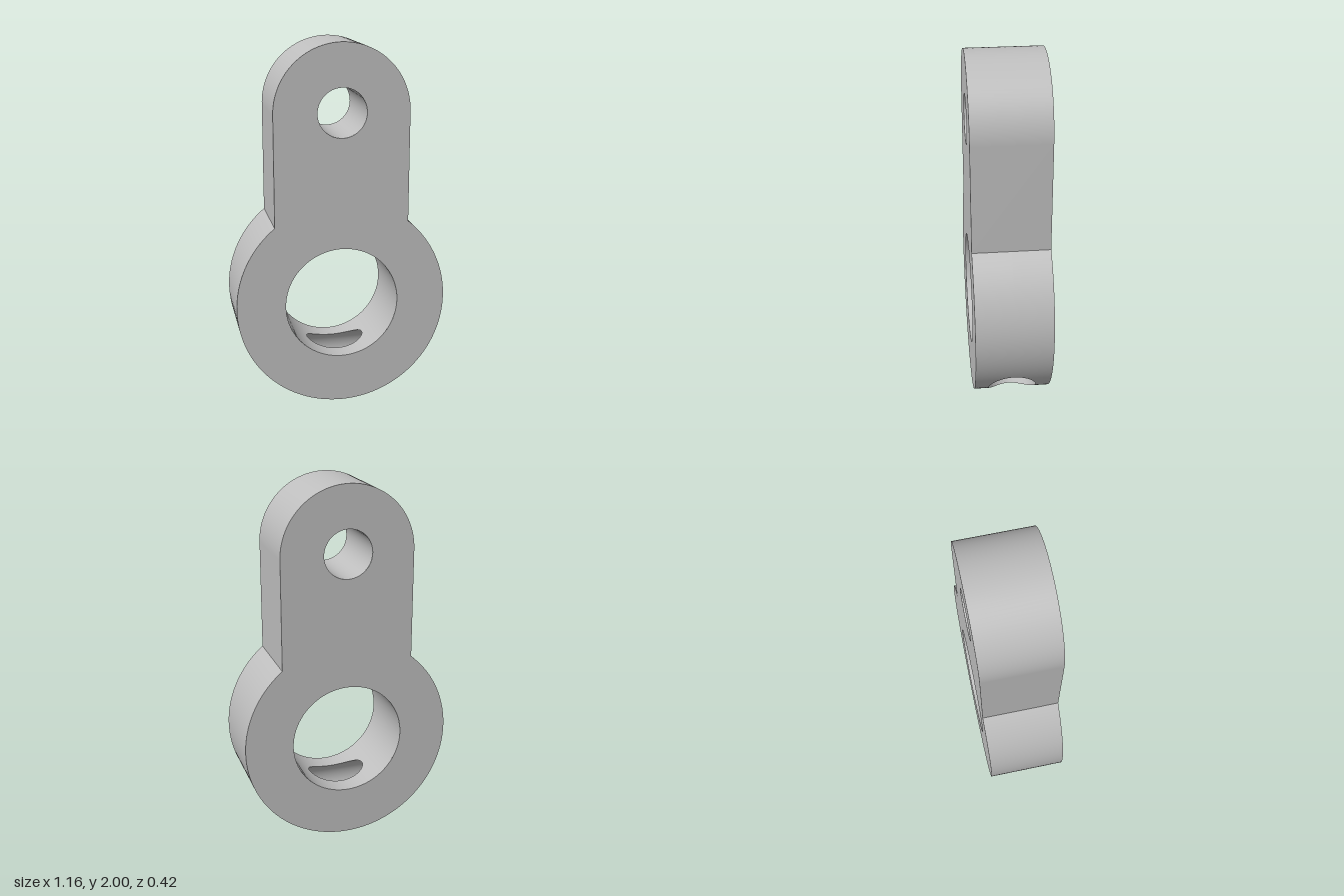
import * as THREE from 'three';

const HALF = 0.21;                                   // half thickness
const RING_Y = 0.58, RING_R = 0.58, BORE_R = 0.312;  // ring and its bore
const ARM_Y = 1.633, ARM_R = 0.367, EYE_R = 0.133;   // arm end and its eye
const PIN_Y = 0.18, PIN_R = 0.133;                   // cross hole along x

// samples from each break to the next, denser near the breaks
function samples(breaks, n = 40) {
  const out = [breaks[0]];
  for (let k = 1; k < breaks.length; k++) {
    for (let i = 1; i <= n; i++) {
      const s = (1 - Math.cos((Math.PI * i) / n)) / 2;
      out.push(breaks[k - 1] + (breaks[k] - breaks[k - 1]) * s);
    }
  }
  return out;
}

// ruled strip: section(u) gives the two edge points and the normal;
// repeated for each pair of mirror signs in x and z
function ruled(us, section, signs) {
  const pos = [], nor = [], idx = [];
  for (const [sx, sz] of signs) {
    const start = pos.length / 3;
    for (const u of us) {
      const [a, b, n] = section(u);
      for (const p of [a, b]) {
        pos.push(p[0] * sx, p[1], p[2] * sz);
        nor.push(n[0] * sx, n[1], n[2] * sz);
      }
    }
    for (let i = 0; i < us.length - 1; i++) {
      const k = start + 2 * i;
      if (sx * sz > 0) idx.push(k, k + 2, k + 1, k + 1, k + 2, k + 3);
      else idx.push(k, k + 1, k + 2, k + 1, k + 3, k + 2);
    }
  }
  // turn all faces over if the first large one opposes its normal
  const v = (arr, i) => new THREE.Vector3().fromArray(arr, 3 * i);
  let sum = 0;
  for (let t = 0; t < idx.length; t += 3) {
    const a = v(pos, idx[t]);
    const c = v(pos, idx[t + 1]).sub(a).cross(v(pos, idx[t + 2]).sub(a));
    sum += c.dot(v(nor, idx[t]));
  }
  if (sum < 0) idx.reverse();
  const g = new THREE.BufferGeometry();
  g.setAttribute('position', new THREE.Float32BufferAttribute(pos, 3));
  g.setAttribute('normal', new THREE.Float32BufferAttribute(nor, 3));
  g.setIndex(idx);
  return g;
}

const FOUR = [[1, 1], [1, -1], [-1, 1], [-1, -1]];
const SIDES = [[1, 1], [-1, 1]];

// half width in z of the cross hole at height y
const pinHalf = (y) => Math.sqrt(Math.max(0, PIN_R ** 2 - (y - PIN_Y) ** 2));
// angle from the bottom of a ring circle at height y
const angleAt = (y, r) => Math.acos((RING_Y - y) / r);

// quarter of a ring wall, cut by the cross hole; dir is 1 outside, -1 in the bore
const ringWall = (r, dir) => (a) => {
  const s = Math.sin(a), c = Math.cos(a), y = RING_Y - r * c;
  return [[r * s, y, pinHalf(y)], [r * s, y, HALF], [dir * s, -dir * c, 0]];
};

// full-thickness wall around the arm end or eye
const armWall = (r, dir) => (a) => {
  const s = Math.sin(a), c = Math.cos(a);
  return [[r * s, ARM_Y + r * c, -HALF], [r * s, ARM_Y + r * c, HALF], [dir * s, dir * c, 0]];
};

// cross hole wall, from the bore (or the middle) to the outer rim
function pinWall(t) {
  const y = PIN_Y + PIN_R * Math.cos(t), z = PIN_R * Math.sin(t), d = RING_Y - y;
  const inner = Math.sqrt(Math.max(0, BORE_R ** 2 - d * d));
  const outer = Math.sqrt(RING_R ** 2 - d * d);
  return [[inner, y, z], [outer, y, z], [0, -Math.cos(t), -Math.sin(t)]];
}

export function createModel() {
  const group = new THREE.Group();
  group.name = 'eyeLink';
  const metal = new THREE.MeshStandardMaterial({ color: 0xbfbfbf });
  metal.name = 'grey metal';
  const add = (name, geometry) => {
    const mesh = new THREE.Mesh(geometry, metal);
    mesh.name = name;
    group.add(mesh);
    return mesh;
  };

  // flat front and back faces
  const join = Math.asin(ARM_R / RING_R);
  const joinY = RING_Y + RING_R * Math.cos(join);
  const face = new THREE.Shape();
  face.moveTo(ARM_R, joinY);
  face.lineTo(ARM_R, ARM_Y);
  face.absarc(0, ARM_Y, ARM_R, 0, Math.PI, false);
  face.lineTo(-ARM_R, joinY);
  face.absarc(0, RING_Y, RING_R, Math.PI / 2 + join, Math.PI * 2.5 - join, false);
  for (const [y, r] of [[RING_Y, BORE_R], [ARM_Y, EYE_R]]) {
    face.holes.push(new THREE.Path().absarc(0, y, r, 0, Math.PI * 2, true));
  }
  const faceGeometry = new THREE.ShapeGeometry(face, 80);
  add('frontFace', faceGeometry).position.z = HALF;
  const back = add('backFace', faceGeometry);
  back.position.z = -HALF;
  back.rotation.y = Math.PI;

  // ring rim and bore
  const low = angleAt(PIN_Y - PIN_R, RING_R), high = angleAt(PIN_Y + PIN_R, RING_R);
  add('ringRim', ruled(samples([0, low, high, Math.PI - join]), ringWall(RING_R, 1), FOUR));
  const slot = angleAt(PIN_Y + PIN_R, BORE_R);
  add('ringBore', ruled(samples([0, slot, Math.PI]), ringWall(BORE_R, -1), FOUR));

  // cross hole, breaking into the bottom of the bore
  const open = Math.acos((RING_Y - BORE_R - PIN_Y) / PIN_R);
  add('crossHole', ruled(samples([0, open, Math.PI]), pinWall, FOUR));

  // arm: straight sides, round end and eye
  add('armSides', ruled([joinY, ARM_Y],
    (y) => [[ARM_R, y, -HALF], [ARM_R, y, HALF], [1, 0, 0]], SIDES));
  add('armEnd', ruled(samples([0, Math.PI / 2]), armWall(ARM_R, 1), SIDES));
  add('armEye', ruled(samples([0, Math.PI]), armWall(EYE_R, -1), SIDES));

  return group;
}
